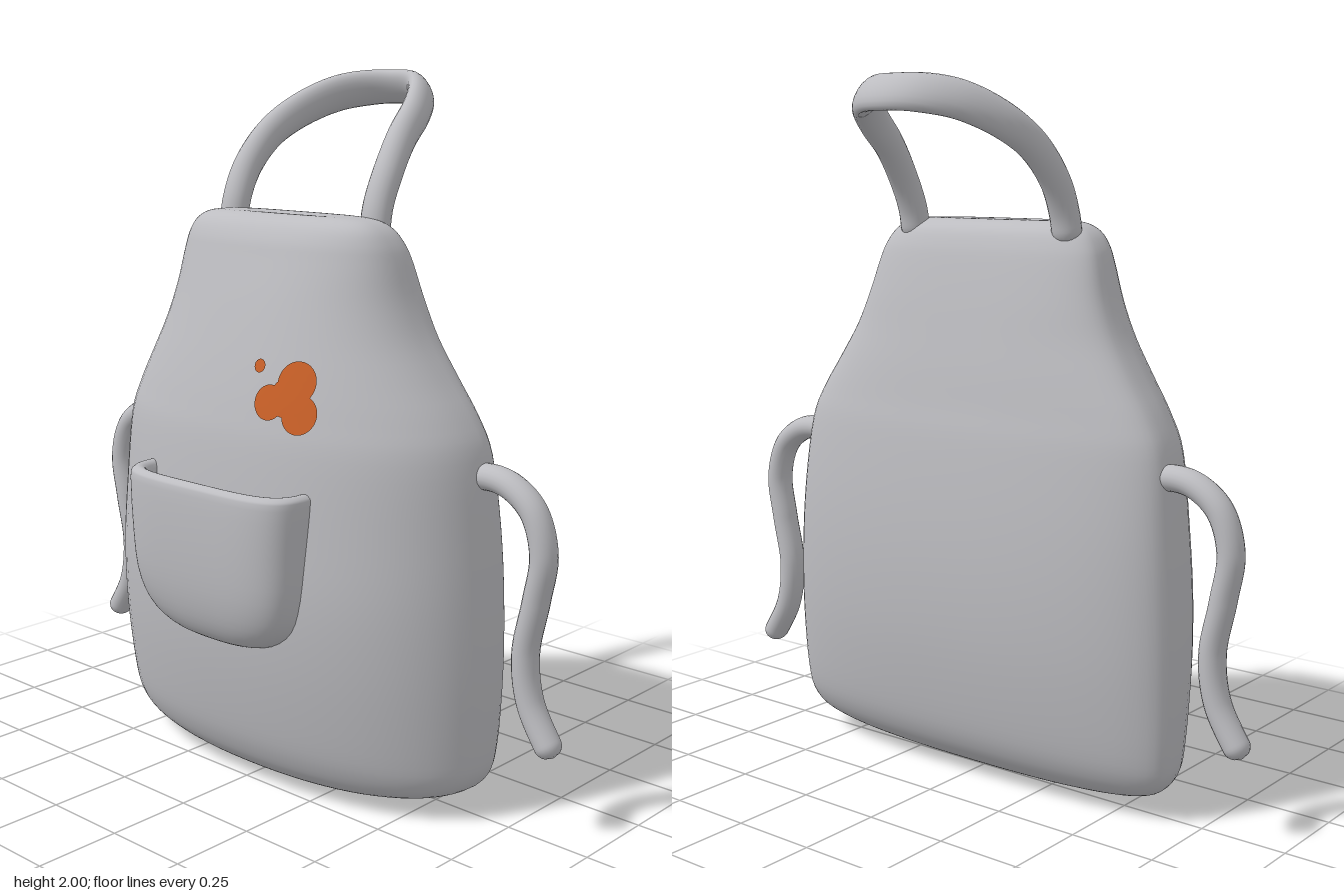
import * as THREE from 'three';

const cloth = new THREE.MeshStandardMaterial({ color: 0xbdbdc1 });
cloth.name = 'cloth grey';
const stain = new THREE.MeshStandardMaterial({ color: 0xcb6128 });
stain.name = 'stain orange';

const SIDES = 64;

// Joins closed rings of points into one smooth skin
function skin(rings) {
  const n = rings[0].length, pos = [], idx = [];
  rings.forEach(r => r.forEach(p => pos.push(p.x, p.y, p.z)));
  for (let j = 0; j < rings.length - 1; j++) {
    for (let i = 0; i < n; i++) {
      const a = j * n + i, b = j * n + (i + 1) % n;
      idx.push(a, a + n, b, b, a + n, b + n);
    }
  }
  const g = new THREE.BufferGeometry();
  g.setAttribute('position', new THREE.Float32BufferAttribute(pos, 3));
  g.setIndex(idx);
  g.computeVertexNormals();
  return g;
}

// Smoothly resamples rows of section values
function resample(rows, steps) {
  const out = [], at = i => rows[Math.min(Math.max(i, 0), rows.length - 1)];
  for (let i = 0; i < rows.length - 1; i++) {
    for (let s = 0; s < steps; s++) {
      const t = s / steps;
      out.push(rows[i].map((p1, k) => {
        const p0 = at(i - 1)[k], p2 = at(i + 1)[k], p3 = at(i + 2)[k];
        return p1 + 0.5 * t * (p2 - p0 + t * (2 * p0 - 5 * p1 + 4 * p2 - p3 + t * (3 * (p1 - p2) + p3 - p0)));
      }));
    }
  }
  out.push(at(rows.length));
  return out;
}

// Horizontal section: separate front and back superellipse halves
// row = [y, half width, front z, back z, side z, front power, back power]
function sectionRing([y, w, zf, zb, zc, nf, nb]) {
  return Array.from({ length: SIDES }, (_, i) => {
    const a = i / SIDES * Math.PI * 2, c = Math.cos(a), s = Math.sin(a);
    const e = 2 / (s >= 0 ? nf : nb);
    const x = Math.sign(c) * w * Math.abs(c) ** e;
    const z = zc + (s >= 0 ? zf - zc : zb - zc) * Math.abs(s) ** e;
    return new THREE.Vector3(x, y, z);
  });
}

// Round-ended band along a path; wide = direction of the wider axis
function band(points, wide, size, segs = 140) {
  const curve = new THREE.CatmullRomCurve3(points.map(p => new THREE.Vector3(...p)));
  const len = curve.getLength(), rings = [];
  for (let j = 0; j <= segs; j++) {
    const u = j / segs, c = curve.getPointAt(u), t = curve.getTangentAt(u);
    const A = wide.clone().addScaledVector(t, -wide.dot(t)).normalize();
    const B = A.clone().cross(t);
    const [ra, rb] = size(u);
    const k = Math.min(1, Math.min(u, 1 - u) * len / rb);
    const round = Math.sqrt(Math.max(0, 1 - (1 - k) ** 2));
    rings.push(Array.from({ length: 20 }, (_, i) => {
      const a = i / 20 * Math.PI * 2;
      return c.clone().addScaledVector(A, ra * round * Math.cos(a)).addScaledVector(B, rb * round * Math.sin(a));
    }));
  }
  return skin(rings);
}

export function createModel() {
  const model = new THREE.Group();
  model.name = 'apron';
  const add = (name, geometry, material) => {
    const m = new THREE.Mesh(geometry, material);
    m.name = name;
    model.add(m);
    return m;
  };

  // Puffy apron body
  const bodyRows = resample([
    [0.003, 0.001, 0.081, 0.079, 0.08, 2.2, 2.3],
    [0.01, 0.22, 0.14, 0.03, 0.07, 2.2, 2.3],
    [0.03, 0.45, 0.215, -0.05, 0.03, 2.2, 2.4],
    [0.06, 0.59, 0.26, -0.095, 0, 2.2, 2.5],
    [0.11, 0.65, 0.295, -0.135, -0.02, 2.2, 2.5],
    [0.2, 0.668, 0.325, -0.165, -0.03, 2.2, 2.5],
    [0.4, 0.675, 0.36, -0.195, -0.03, 2.2, 2.5],
    [0.6, 0.67, 0.375, -0.205, -0.03, 2.2, 2.5],
    [0.8, 0.655, 0.365, -0.198, -0.03, 2.2, 2.5],
    [1.0, 0.63, 0.347, -0.178, -0.02, 2.2, 2.5],
    [1.1, 0.588, 0.328, -0.16, -0.01, 2.2, 2.6],
    [1.2, 0.522, 0.303, -0.143, 0, 2.3, 2.7],
    [1.3, 0.46, 0.275, -0.123, 0.01, 2.4, 2.8],
    [1.4, 0.417, 0.245, -0.102, 0.02, 2.5, 3],
    [1.5, 0.387, 0.212, -0.078, 0.03, 2.7, 3],
    [1.55, 0.367, 0.195, -0.062, 0.04, 2.8, 3],
    [1.59, 0.335, 0.17, -0.04, 0.05, 3, 3],
    [1.612, 0.285, 0.14, -0.005, 0.06, 3, 3],
    [1.617, 0.19, 0.11, 0.03, 0.065, 3, 3],
    [1.612, 0.001, 0.067, 0.065, 0.066, 3, 3],
  ], 4);
  add('body', skin(bodyRows.map(sectionRing)), cloth);

  // Front surface depth of the body at (x, y)
  const frontZ = (x, y) => {
    const j = bodyRows.findIndex(r => r[0] > y), a = bodyRows[j - 1], b = bodyRows[j];
    const t = (y - a[0]) / (b[0] - a[0]);
    const [, w, zf, , zc, nf] = a.map((v, k) => v + (b[k] - v) * t);
    return zc + (zf - zc) * (1 - (Math.abs(x) / w) ** nf) ** (1 / nf);
  };

  // Open pouch pocket: up the outside, over the rim, down the inside
  const pocketRows = resample([
    [0.447, 0.02, 0.345, 0.3, 0.31, 2.4, 2],
    [0.452, 0.13, 0.375, 0.3, 0.31, 2.6, 2],
    [0.475, 0.215, 0.405, 0.29, 0.3, 3, 2],
    [0.53, 0.275, 0.433, 0.28, 0.29, 3.5, 2],
    [0.62, 0.3, 0.452, 0.28, 0.29, 4, 2],
    [0.75, 0.31, 0.461, 0.28, 0.29, 4, 2],
    [0.88, 0.316, 0.461, 0.28, 0.29, 4, 2],
    [0.905, 0.311, 0.452, 0.28, 0.29, 4, 2],
    [0.912, 0.295, 0.437, 0.28, 0.29, 4, 2],
    [0.9, 0.278, 0.42, 0.28, 0.29, 4, 2],
    [0.86, 0.272, 0.412, 0.28, 0.29, 4, 2],
    [0.78, 0.26, 0.4, 0.28, 0.29, 4, 2],
    [0.75, 0.02, 0.32, 0.28, 0.29, 3, 2],
  ], 3);
  add('pocket', skin(pocketRows.map(sectionRing)), cloth);

  // Neck strap, round at the ends and flatter behind the neck
  const half = [
    [0.272, 1.55, 0.005], [0.27, 1.64, -0.012], [0.268, 1.73, -0.055],
    [0.252, 1.82, -0.13], [0.222, 1.885, -0.225], [0.16, 1.935, -0.325], [0.08, 1.953, -0.395],
  ];
  const strap = [
    ...half.map(([x, y, z]) => [-x - 0.015, y, z]),
    [-0.015, 1.955, -0.415],
    ...half.slice().reverse().map(([x, y, z]) => [x - 0.015, y, z]),
  ];
  add('neckStrap', band(strap, new THREE.Vector3(0, -0.75, -0.66), u => {
    const k = Math.sin(u * Math.PI) ** 2;
    return [0.04 + 0.02 * k, 0.043 - 0.014 * k];
  }), cloth);

  // Waist ties hanging at both sides
  for (const s of [1, -1]) {
    const tie = [
      [0.58, 0.945], [0.65, 0.957], [0.72, 0.943], [0.79, 0.888], [0.825, 0.78],
      [0.806, 0.65], [0.778, 0.5], [0.797, 0.37], [0.875, 0.235],
    ].map(([x, y]) => [x * s, y, -0.015]);
    add(s > 0 ? 'leftTie' : 'rightTie', band(tie, new THREE.Vector3(0, 0, 1), () => [0.041, 0.036]), cloth);
  }

  // Splatter of overlapping round spots laid on the chest
  const spots = [
    [0.235, 1.195, 0.057], [0.258, 1.115, 0.052], [0.16, 1.138, 0.047],
    [0.212, 1.155, 0.052], [0.11, 1.229, 0.018],
  ];
  spots.forEach(([cx, cy, r]) => {
    const g = new THREE.RingGeometry(0.0005, r, 32, 4).translate(cx, cy, 0);
    const p = g.attributes.position;
    for (let i = 0; i < p.count; i++) p.setZ(i, frontZ(p.getX(i), p.getY(i)) + 0.005);
    g.computeVertexNormals();
    add('stainSpot', g, stain);
  });

  return model;
}
